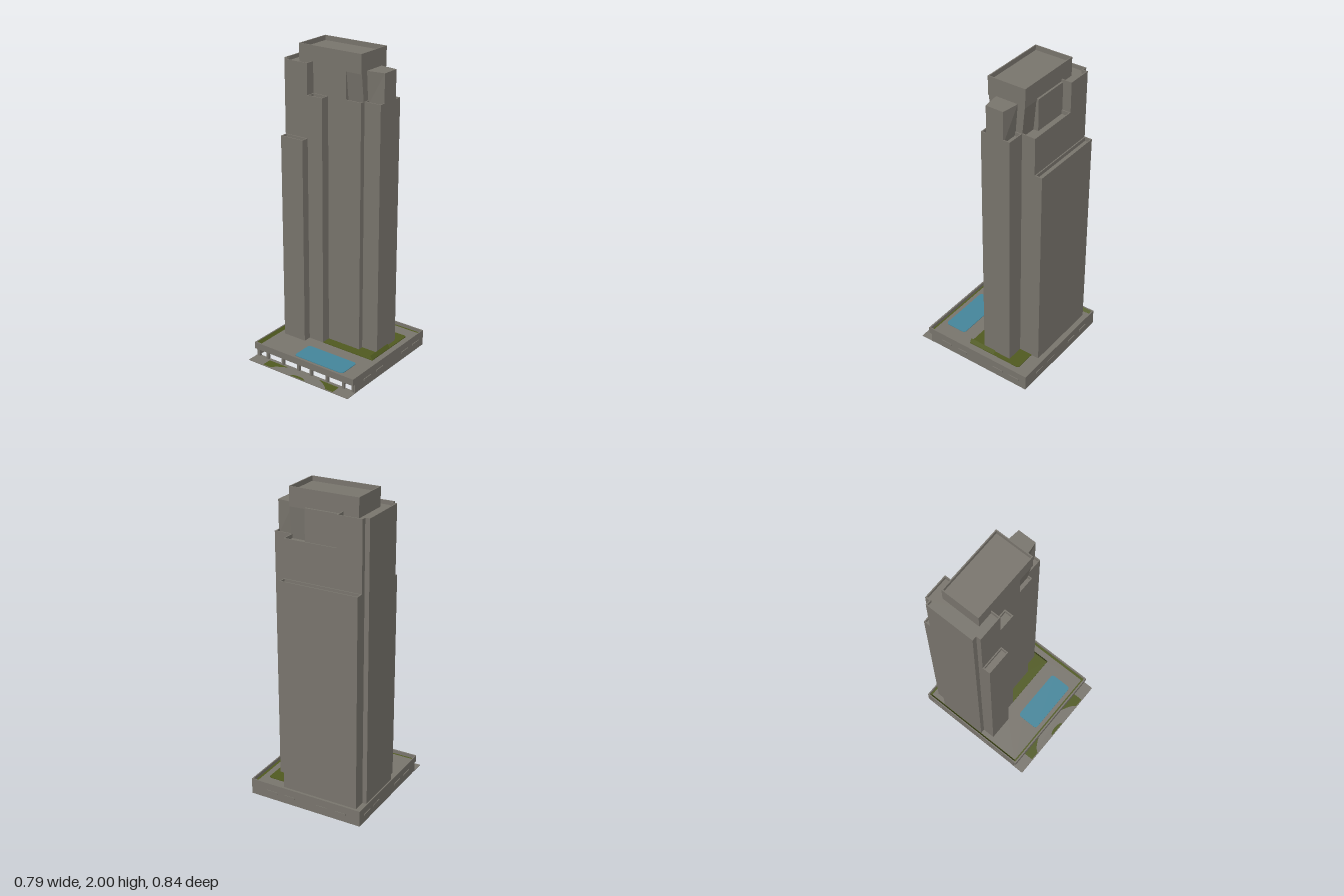
import * as THREE from 'three';
import { mergeGeometries } from 'three/addons/utils/BufferGeometryUtils.js';

const mat = (name, color) => {
  const m = new THREE.MeshStandardMaterial({ color, side: THREE.DoubleSide });
  m.name = name;
  return m;
};

// footprint corners are [x, z], counter-clockwise seen from above
const rect = (x0, x1, z0, z1) => [[x0, z1], [x1, z1], [x1, z0], [x0, z0]];

// move every side of a right-angled footprint inwards
function inset(pts, d) {
  const n = pts.length;
  const normal = (a, b) => {
    const dx = b[0] - a[0], dz = b[1] - a[1], l = Math.hypot(dx, dz);
    return [dz / l, -dx / l];
  };
  return pts.map((p, i) => {
    const a = normal(pts[(i + n - 1) % n], p), b = normal(p, pts[(i + 1) % n]);
    return [p[0] + d * (a[0] + b[0]), p[1] + d * (a[1] + b[1])];
  });
}

// walls between two footprints
function walls(lower, y0, upper, y1) {
  const v = [];
  lower.forEach((p, i) => {
    const j = (i + 1) % lower.length;
    const a = [p[0], y0, p[1]], b = [lower[j][0], y0, lower[j][1]];
    const c = [upper[j][0], y1, upper[j][1]], d = [upper[i][0], y1, upper[i][1]];
    v.push(...a, ...b, ...c, ...a, ...c, ...d);
  });
  const g = new THREE.BufferGeometry();
  g.setAttribute('position', new THREE.Float32BufferAttribute(v, 3));
  return g;
}

// level sheet with optional hole
function sheet(pts, y, hole) {
  const v2 = (list) => list.map(([x, z]) => new THREE.Vector2(x, -z));
  const s = new THREE.Shape(v2(pts));
  if (hole) s.holes.push(new THREE.Path(v2(hole)));
  const g = new THREE.ShapeGeometry(s).toNonIndexed();
  g.deleteAttribute('uv');
  g.deleteAttribute('normal');
  return g.rotateX(-Math.PI / 2).translate(0, y, 0);
}

function join(...parts) {
  const g = mergeGeometries(parts);
  g.computeVertexNormals();
  return g;
}

// open-bottomed block with a parapet round its sunken roof
function block(pts, y0, y1, lip = 0.007, depth = 0.025) {
  const inner = inset(pts, lip);
  return join(walls(pts, y0, pts, y1), sheet(pts, y1, inner),
    walls(inner, y1, inner, y1 - depth), sheet(inner, y1 - depth));
}

// thin painted plate
const plate = (pts, y, t = 0.004) =>
  join(walls(pts, y - t, pts, y + t), sheet(pts, y + t), sheet(pts, y - t));

export function createModel() {
  const model = new THREE.Group();
  const stone = mat('warm grey', 0x7b776f);
  const grass = mat('olive green', 0x515b20);
  const water = mat('pool blue', 0x46889d);
  const add = (name, geometry, material = stone) => {
    const m = new THREE.Mesh(geometry, material);
    m.name = name;
    model.add(m);
    return m;
  };
  const box = (name, x0, x1, y0, y1, z0, z1, material) =>
    add(name, new THREE.BoxGeometry(x1 - x0, y1 - y0, z1 - z0)
      .translate((x0 + x1) / 2, (y0 + y1) / 2, (z0 + z1) / 2), material);

  // tower
  const D = 0.08;
  add('westWing', block([[-0.335, 0.07], [-0.17, 0.07], [-0.17, -0.315], [-0.335, -0.315],
    [-0.335, -0.285], [-0.365, -0.285], [-0.365, 0.04], [-0.335, 0.04]], D, 1.905));
  add('frontLowBay', block(rect(-0.335, -0.17, 0.07, 0.122), D, 1.44));
  add('frontHighBay', block(rect(-0.17, -0.06, 0.01, 0.07), D, 1.71));
  add('towerBody', block(rect(-0.17, 0.18, -0.315, 0.01), D, 1.71));
  add('backSlab', block(rect(-0.335, 0.18, -0.366, -0.315), D, 1.465));
  add('eastBay', block(rect(0.18, 0.295, -0.225, -0.025), D, 1.71));

  // upper storeys
  const core = rect(-0.17, 0.07, -0.258, 0.01);
  add('upperCore', join(walls(core, 1.68, core, 1.89), sheet(core, 1.89)));
  const flareLow = rect(0.07, 0.18, -0.225, -0.02), flareHigh = rect(0.07, 0.18, -0.245, 0.007);
  add('flaredNeck', join(walls(flareLow, 1.68, flareHigh, 1.905), sheet(flareHigh, 1.905)));
  const finLow = rect(0.18, 0.295, -0.18, -0.062);
  const finHigh = [[0.18, -0.047], [0.295, -0.062], [0.295, -0.18], [0.18, -0.195]];
  add('eastFin', join(walls(finLow, 1.68, finHigh, 1.89), sheet(finHigh, 1.89)));
  const crown = rect(-0.275, 0.18, -0.245, 0.01);
  add('crown', block(crown, 1.88, 2, 0.007, 0.03));

  // podium deck, open beneath the tower
  const tower = [[-0.335, 0.122], [-0.17, 0.122], [-0.17, 0.07], [-0.06, 0.07], [-0.06, 0.01],
    [0.18, 0.01], [0.18, -0.025], [0.295, -0.025], [0.295, -0.225], [0.18, -0.225],
    [0.18, -0.366], [-0.335, -0.366], [-0.335, -0.285], [-0.365, -0.285], [-0.365, 0.04],
    [-0.335, 0.04]];
  add('deck', join(sheet(rect(-0.382, 0.382, -0.41, 0.352), D, tower)));

  // podium walls: closed at the sides and back, raised above the front entrance
  for (const s of [-1, 1]) {
    box('podiumSideWall', Math.min(s * 0.388, s * 0.38), Math.max(s * 0.388, s * 0.38), 0, 0.105, -0.416, 0.34);
    box('podiumSideParapet', Math.min(s * 0.388, s * 0.38), Math.max(s * 0.388, s * 0.38), 0.06, 0.105, 0.34, 0.36);
  }
  box('podiumBackWall', -0.38, 0.38, 0, 0.105, -0.416, -0.408);
  box('podiumFrontParapet', -0.38, 0.38, 0.06, 0.105, 0.35, 0.36);
  box('entranceSoffit', -0.38, 0.38, 0.058, 0.064, 0.325, 0.35);
  for (const x of [0.05, 0.175, 0.3, 0.372])
    for (const s of [-1, 1]) box('entranceColumn', s * x - 0.008, s * x + 0.008, 0, 0.06, 0.325, 0.342);

  // small ledges on the podium walls
  for (const z of [-0.325, -0.2, 0.082, 0.212])
    for (const s of [-1, 1]) box('sideLedge', s * 0.39 - 0.003, s * 0.39 + 0.003, 0.045, 0.058, z - 0.037, z + 0.037);
  for (const x of [-0.252, -0.122, 0.107, 0.237])
    box('backLedge', x - 0.037, x + 0.037, 0.045, 0.058, -0.42, -0.415);

  // planting on the deck
  add('borderPlanting', join(
    sheet(rect(-0.38, 0.38, -0.408, 0.348), D + 0.003, rect(-0.366, 0.364, -0.396, 0.337))), grass);
  add('sideBank', join(walls([[-0.368, 0.34], [-0.368, -0.4]], D + 0.003,
    [[-0.38, 0.34], [-0.38, -0.4]], 0.102)), grass);
  add('lawn', plate([[-0.06, 0.07], [0.325, 0.07], [0.325, -0.305], [0.315, -0.315], [0.18, -0.315],
    [0.18, -0.225], [0.295, -0.225], [0.295, -0.025], [0.18, -0.025], [0.18, 0.01], [-0.06, 0.01]], D), grass);
  add('lawnBank', join(walls([[0.325, 0.07], [0.325, -0.122]], D + 0.004,
    [[0.31, 0.07], [0.31, -0.122]], 0.11)), grass);

  // pool with rounded corners
  const pool = [];
  for (const [cx, cz, start] of [[0.25, 0.29, -90], [0.25, 0.178, 0], [-0.085, 0.178, 90], [-0.085, 0.29, 180]])
    for (let i = 0; i <= 5; i++) {
      const a = THREE.MathUtils.degToRad(start + i * 18);
      pool.push([cx + 0.02 * Math.cos(a), cz - 0.02 * Math.sin(a)]);
    }
  add('pool', plate(pool, D), water);

  // forecourt with curved beds
  box('forecourt', -0.39, 0.39, 0, 0.003, 0.325, 0.42);
  for (const s of [-1, 1]) {
    const bed = [[0.275, 0.35], [0.275, 0.414], [0.215, 0.414], [0.205, 0.4], [0.185, 0.383], [0.155, 0.366], [0.12, 0.35]]
      .map(([x, z]) => [s * x, z]);
    add('forecourtBed', join(sheet(bed, 0.005)), grass);
  }
  const round = [];
  for (let i = 0; i <= 12; i++) {
    const a = Math.PI * i / 12;
    round.push([0.055 * Math.cos(a), 0.416 - 0.021 * Math.sin(a)]);
  }
  add('centreBed', join(sheet(round, 0.005)), grass);
  return model;
}
